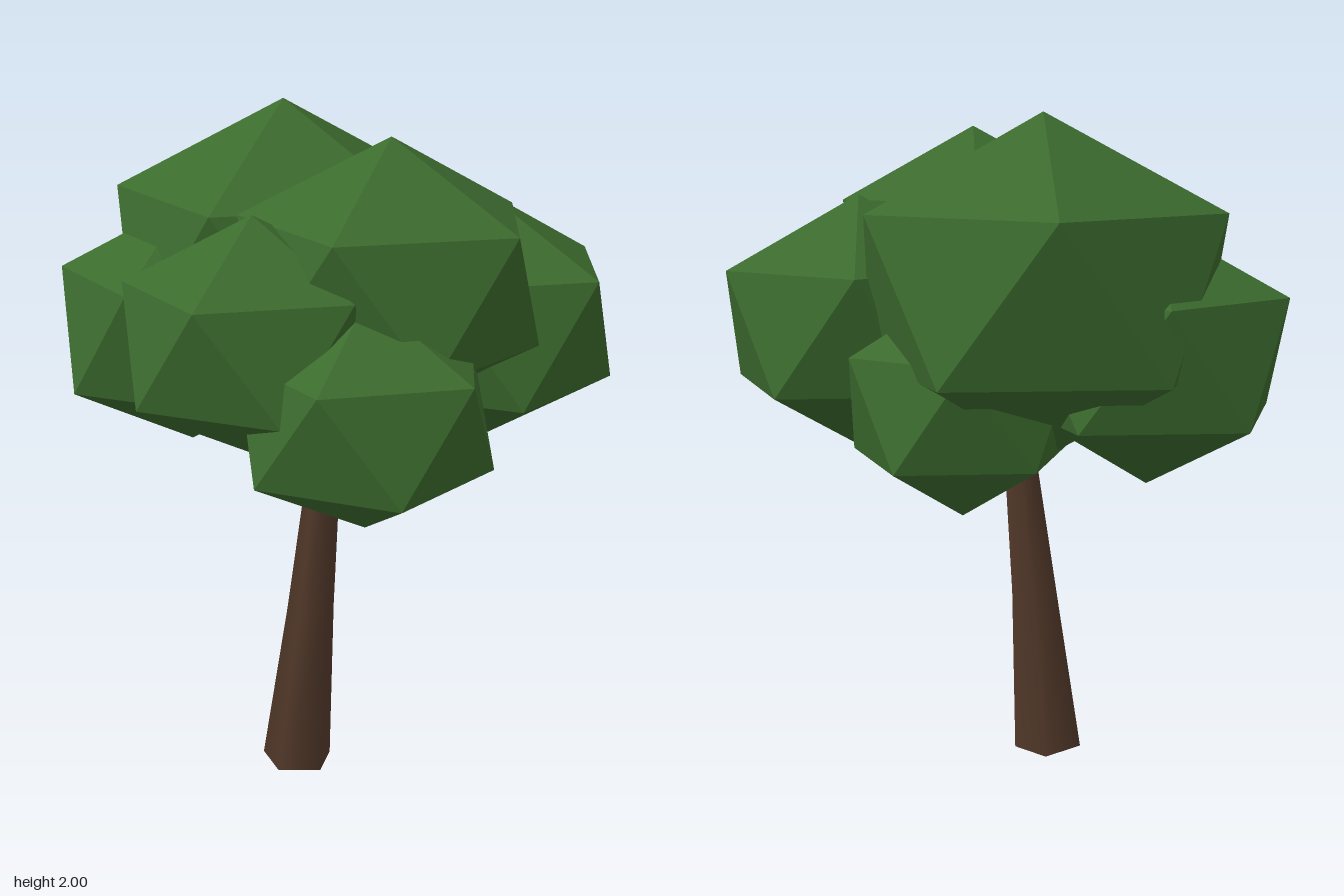
import * as THREE from 'three';

const leafMaterial = (color) => new THREE.MeshStandardMaterial({ color, flatShading: true });

// Icosahedron standing on a corner, slightly squashed in height
function leafClump(name, [x, y, z], radius, height, material) {
  const geometry = new THREE.IcosahedronGeometry(1, 0);
  geometry.rotateZ(-Math.atan(2 / (1 + Math.sqrt(5))));
  geometry.scale(radius, height, radius);
  geometry.computeVertexNormals();
  const mesh = new THREE.Mesh(geometry, material);
  mesh.name = name;
  mesh.position.set(x, y, z);
  return mesh;
}

// Five-sided trunk, tapering and leaning backwards
function makeTrunk() {
  const stations = [ // y, centre x, centre z, radius
    [0, 0.031, 0.131, 0.11],
    [0.52, 0.06, 0.098, 0.074],
    [1.0, 0.066, 0.04, 0.05],
    [1.3, 0.07, 0.0, 0.045],
  ];
  const geometry = new THREE.CylinderGeometry(1, 1, 3, 5, 3, false, Math.PI * 1.25);
  const p = geometry.attributes.position;
  for (let i = 0; i < p.count; i++) {
    const level = Math.round(p.getY(i) + 1.5);
    const [y, cx, cz, r] = stations[level];
    const tilt = level === 0 ? 0.007 + 0.008 * p.getZ(i) : 0;
    p.setXYZ(i, cx + r * p.getX(i), y + tilt, cz + r * p.getZ(i));
  }
  // Taper and lean are slight, so the radial normals stay smooth
  const mesh = new THREE.Mesh(geometry, new THREE.MeshStandardMaterial({ color: 0x53392a }));
  mesh.name = 'trunk';
  return mesh;
}

export function createModel() {
  const tree = new THREE.Group();
  tree.name = 'tree';
  tree.add(makeTrunk());

  const crown = new THREE.Group();
  crown.name = 'crown';
  const green = leafMaterial(0x3c6b2e);
  const clumps = [ // name, centre, radius, half height
    ['topLeafClump', [-0.26, 1.52, -0.145], 0.57, 0.48],
    ['upperSideLeafClump', [0.3, 1.57, 0.05], 0.465, 0.39],
    ['lowerSideLeafClump', [-0.43, 1.335, 0.1], 0.435, 0.375],
    ['frontLeafClump', [0.12, 1.45, 0.405], 0.39, 0.33],
    ['backLeafClump', [0.315, 1.385, -0.365], 0.445, 0.38],
    ['lowFrontLeafClump', [0.43, 1.275, 0.305], 0.38, 0.32],
    ['lowBackLeafClump', [-0.14, 1.205, -0.34], 0.36, 0.325],
  ];
  for (const [name, centre, radius, height] of clumps) {
    crown.add(leafClump(name, centre, radius, height, green));
  }
  // Dark inner clump that joins the crown to the trunk
  crown.add(leafClump('innerLeafClump', [0.05, 1.4, 0], 0.45, 0.4, leafMaterial(0x101a10)));
  tree.add(crown);
  return tree;
}
